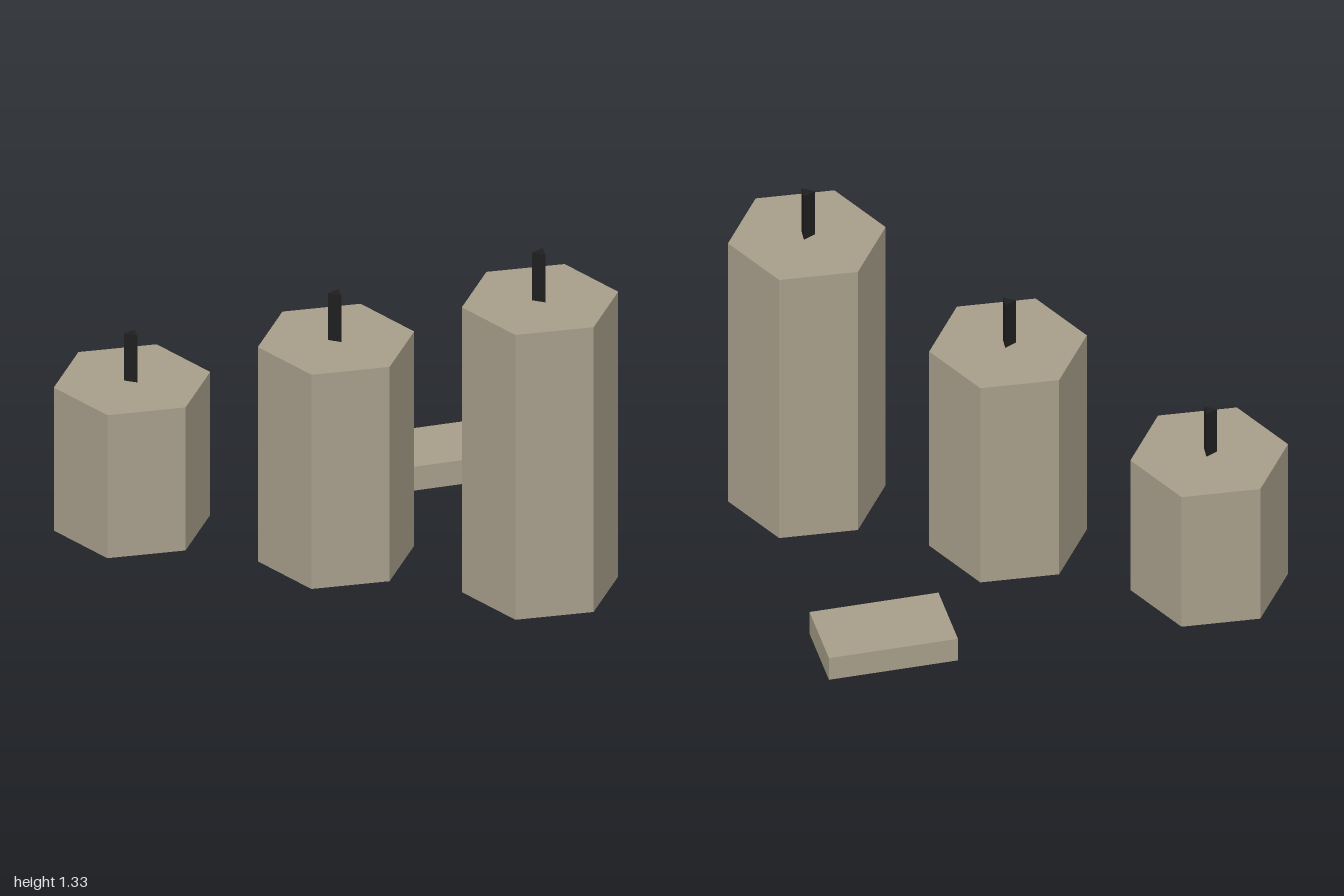
import * as THREE from 'three';

export function createModel() {
  const model = new THREE.Group();
  const wax = new THREE.MeshStandardMaterial({ color: 0xa89f8b, flatShading: true });
  wax.name = 'wax';
  const black = new THREE.MeshStandardMaterial({ color: 0x1f1f1f, flatShading: true });
  black.name = 'wickBlack';

  // Upright prism with its base at y
  const prism = (name, radius, height, sides, y, turn, material) => {
    const geometry = new THREE.CylinderGeometry(radius, radius, height, sides, 1, false, turn);
    const mesh = new THREE.Mesh(geometry, material);
    mesh.name = name;
    mesh.position.y = y + height / 2;
    return mesh;
  };

  // Three hexagonal candles of rising height, each with a triangular wick
  const candles = [
    ['shortCandle', -0.756, 0.57, 0.187, 0.028],
    ['mediumCandle', 0, 0.854, 0.187, 0.028],
    ['tallCandle', 0.756, 1.135, 0.19, 0.029],
  ];
  for (const [name, x, height, wickHeight, wickRadius] of candles) {
    const candle = new THREE.Group();
    candle.name = name;
    candle.position.set(x, 0, 0.362);
    candle.add(prism('candleBody', 0.282, height, 6, 0, 0, wax));
    candle.add(prism('wick', wickRadius, wickHeight, 3, height, Math.PI, black));
    model.add(candle);
  }

  // Flat block lying at an angle behind the candles
  const block = new THREE.Mesh(new THREE.BoxGeometry(0.469, 0.095, 0.281), wax);
  block.name = 'block';
  block.position.set(0.188, 0.0475, -0.395);
  block.rotation.y = 0.6;
  model.add(block);

  return model;
}
